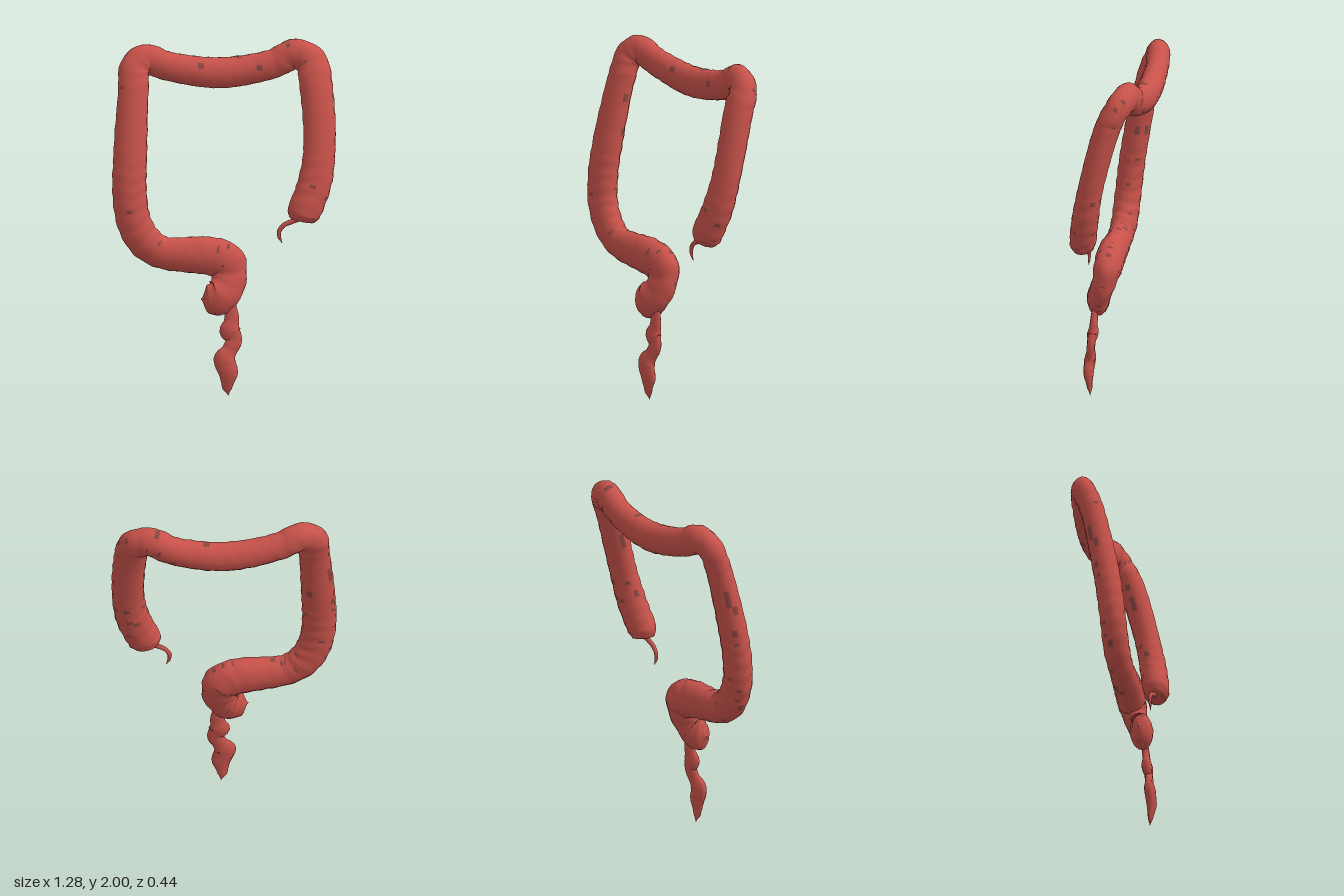
import * as THREE from 'three';

const flesh = new THREE.MeshStandardMaterial({ color: 0xc8524a });
flesh.name = 'flesh red';
const shade = new THREE.MeshStandardMaterial({ color: 0x8a4640 });
shade.name = 'dull vein red';

function seeded(seed) {
  return () => {
    seed = (seed * 16807) % 2147483647;
    return seed / 2147483647;
  };
}

// Sweeps an oval section along stations [x, y, z, half width].
// depth(t) = depth over width, ripple = depth of the pouches,
// patches = share of dull facets, denser along two bands.
function sweep(name, stations, { depth, sides = 16, steps = 9, ripple = 0, patches = 0 }) {
  const curve = new THREE.CatmullRomCurve3(stations.map(s => new THREE.Vector3(s[0], s[1], s[2])));
  const spans = stations.length - 1;
  const rings = spans * steps;
  const rand = seeded(7);
  const pos = [];
  const front = new THREE.Vector3(0, 0, 1);
  let length = 0;
  let last = curve.getPoint(0);

  for (let i = 0; i <= rings; i++) {
    const t = i / rings;
    const p = curve.getPoint(t);
    const T = curve.getTangent(t);
    const B = front.clone().addScaledVector(T, -T.z).normalize();
    const N = new THREE.Vector3().crossVectors(T, B);
    length += p.distanceTo(last);
    last = p;
    const k = Math.min(Math.floor(i / steps), spans - 1);
    const f = THREE.MathUtils.smoothstep(i / steps - k, 0, 1);
    const w = THREE.MathUtils.lerp(stations[k][3], stations[k + 1][3], f);
    for (let j = 0; j < sides; j++) {
      const a = (j / sides) * Math.PI * 2;
      const r = w * (1 + ripple * (Math.sin(length * 75 + 1.2 * Math.sin(3 * a)) + rand() - 0.5));
      const v = p.clone()
        .addScaledVector(N, Math.cos(a) * r)
        .addScaledVector(B, Math.sin(a) * r * depth(t));
      pos.push(v.x, v.y, v.z);
    }
  }

  const plain = [];
  const dull = [];
  for (let i = 0; i < rings; i++) {
    for (let j = 0; j < sides; j++) {
      const a = i * sides + j;
      const b = i * sides + (j + 1) % sides;
      const onBand = j === sides - 2 || j === sides / 2;
      const list = rand() < patches * (onBand ? 6 : 1) ? dull : plain;
      list.push(a, a + sides, b, a + sides, b + sides, b);
    }
  }
  const geo = new THREE.BufferGeometry();
  geo.setAttribute('position', new THREE.Float32BufferAttribute(pos, 3));
  geo.setIndex([...plain, ...dull]);
  geo.addGroup(0, plain.length, 0);
  geo.addGroup(plain.length, dull.length, 1);
  geo.computeVertexNormals();
  const mesh = new THREE.Mesh(geo, [flesh, shade]);
  mesh.name = name;
  return mesh;
}

export function createModel() {
  const group = new THREE.Group();
  group.name = 'largeIntestine';

  // Main tube: pouch end, rising limb, cross limb, falling limb, S-bend
  group.add(sweep('colon', [
    [0.435, 0.995, 0.13, 0.003],
    [0.437, 1.005, 0.13, 0.075],
    [0.45, 1.05, 0.13, 0.098],
    [0.51, 1.2, 0.105, 0.098],
    [0.545, 1.4, 0.065, 0.092],
    [0.535, 1.77, -0.035, 0.095],
    [0.515, 1.87, -0.085, 0.092],
    [0.43, 1.91, -0.12, 0.088],
    [0.3, 1.852, -0.135, 0.085],
    [0, 1.808, -0.145, 0.09],
    [-0.3, 1.86, -0.135, 0.084],
    [-0.43, 1.91, -0.118, 0.086],
    [-0.49, 1.87, -0.09, 0.088],
    [-0.505, 1.75, -0.045, 0.088],
    [-0.535, 1.35, 0.04, 0.097],
    [-0.54, 1.18, 0.065, 0.098],
    [-0.52, 1.02, 0.08, 0.098],
    [-0.46, 0.9, 0.085, 0.098],
    [-0.36, 0.828, 0.09, 0.094],
    [-0.08, 0.795, 0.085, 0.112],
    [0.005, 0.76, 0.083, 0.112],
    [0.025, 0.68, 0.1, 0.1],
    [0, 0.605, 0.13, 0.1],
    [-0.045, 0.567, 0.145, 0.108],
    [-0.1, 0.56, 0.148, 0.085],
    [-0.143, 0.56, 0.148, 0.003],
  ], { depth: t => 0.78 - 0.27 * t ** 6, ripple: 0.022, patches: 0.018 }));

  // Narrow lumpy end piece
  group.add(sweep('rectum', [
    [0.02, 0.56, 0.15, 0.03],
    [0.032, 0.44, 0.158, 0.042],
    [0.022, 0.375, 0.165, 0.06],
    [0.045, 0.325, 0.17, 0.046],
    [0.018, 0.265, 0.178, 0.046],
    [-0.012, 0.21, 0.188, 0.064],
    [0.008, 0.135, 0.193, 0.056],
    [0.003, 0.05, 0.188, 0.03],
    [0.01, 0, 0.183, 0.003],
  ], { depth: () => 0.5, sides: 10, steps: 4, ripple: 0.02 }));

  // Thin curved tail under the pouch end
  group.add(sweep('appendix', [
    [0.43, 1.015, 0.13, 0.018],
    [0.38, 0.995, 0.13, 0.015],
    [0.335, 0.975, 0.127, 0.014],
    [0.308, 0.94, 0.125, 0.013],
    [0.308, 0.905, 0.125, 0.01],
    [0.324, 0.87, 0.125, 0.002],
  ], { depth: () => 0.8, sides: 8, steps: 4 }));

  return group;
}
